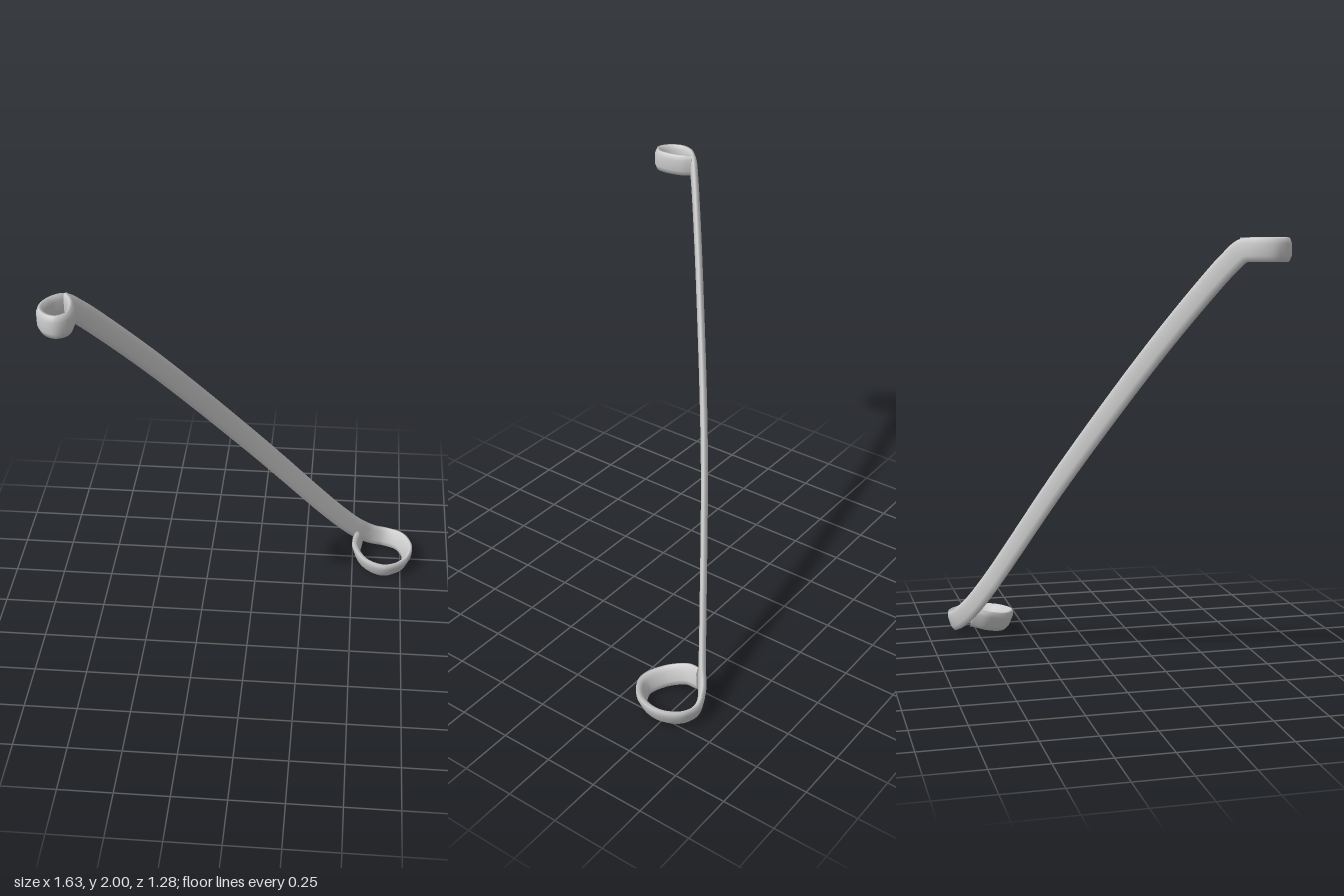
import * as THREE from 'three';

// Centre line of the bent strip: x, y, z, outward lean in radians
const PATH = [
  // upper eye
  [-0.722, 1.95, 0.422, 0], [-0.698, 1.95, 0.46, 0], [-0.682, 1.95, 0.53, 0],
  [-0.69, 1.95, 0.595, 0], [-0.73, 1.95, 0.622, 0], [-0.778, 1.95, 0.598, 0],
  [-0.805, 1.95, 0.54, 0], [-0.785, 1.95, 0.475, 0], [-0.738, 1.945, 0.425, 0],
  // long shaft
  [-0.69, 1.895, 0.382, 0], [-0.62, 1.805, 0.322, 0], [-0.4, 1.5, 0.14, 0],
  [0, 0.905, -0.178, 0], [0.4, 0.31, -0.462, 0], [0.52, 0.155, -0.545, 0.05],
  // lower eye, flared towards the top and rising at its free end
  [0.6, 0.078, -0.6, 0.15], [0.67, 0.052, -0.618, 0.3], [0.745, 0.05, -0.585, 0.38],
  [0.785, 0.05, -0.49, 0.4], [0.755, 0.05, -0.385, 0.4], [0.665, 0.05, -0.332, 0.4],
  [0.57, 0.057, -0.372, 0.36], [0.518, 0.08, -0.46, 0.3], [0.53, 0.1, -0.535, 0.22],
];

// Flat section with bevelled edges: thickness, width
const SECTION = [
  [0.016, -0.026], [0.016, 0.026], [0.006, 0.05], [-0.006, 0.05],
  [-0.016, 0.026], [-0.016, -0.026], [-0.006, -0.05], [0.006, -0.05],
];

function sweepStrip(steps) {
  const curve = new THREE.CatmullRomCurve3(PATH.map(p => new THREE.Vector3(p[0], p[1], p[2])));
  const n = SECTION.length, positions = [], indices = [];
  const yAxis = new THREE.Vector3(0, 1, 0);

  for (let i = 0; i <= steps; i++) {
    const t = i / steps, k = t * (PATH.length - 1);
    const a = Math.min(Math.floor(k), PATH.length - 2);
    const lean = THREE.MathUtils.lerp(PATH[a][3], PATH[a + 1][3], k - a);
    const centre = curve.getPoint(t), tangent = curve.getTangent(t);
    // The wide side stays in the vertical plane of the path, apart from the lean
    const outward = yAxis.clone().cross(tangent).normalize();
    const across = tangent.clone().cross(outward).applyAxisAngle(tangent, -lean);
    outward.applyAxisAngle(tangent, -lean);
    for (const [thick, wide] of SECTION) {
      const p = centre.clone().addScaledVector(outward, thick).addScaledVector(across, wide);
      positions.push(p.x, p.y, p.z);
    }
  }
  for (let i = 0; i < steps; i++) {
    for (let j = 0; j < n; j++) {
      const p = i * n + j, q = i * n + (j + 1) % n;
      indices.push(p, q, p + n, q, q + n, p + n);
    }
  }
  // End caps with their own vertices for crisp ends
  for (const end of [0, steps]) {
    const first = positions.length / 3;
    positions.push(...positions.slice(end * n * 3, (end + 1) * n * 3));
    for (let j = 1; j < n - 1; j++) {
      if (end) indices.push(first, first + j, first + j + 1);
      else indices.push(first, first + j + 1, first + j);
    }
  }
  const geometry = new THREE.BufferGeometry();
  geometry.setAttribute('position', new THREE.Float32BufferAttribute(positions, 3));
  geometry.setIndex(indices);
  geometry.computeVertexNormals();
  return geometry;
}

export function createModel() {
  const group = new THREE.Group();
  group.name = 'doubleEyeRod';
  const strip = new THREE.Mesh(
    sweepStrip((PATH.length - 1) * 8),
    new THREE.MeshStandardMaterial({ color: 0xcccccc })
  );
  strip.name = 'bentStrip';
  group.add(strip);
  return group;
}
